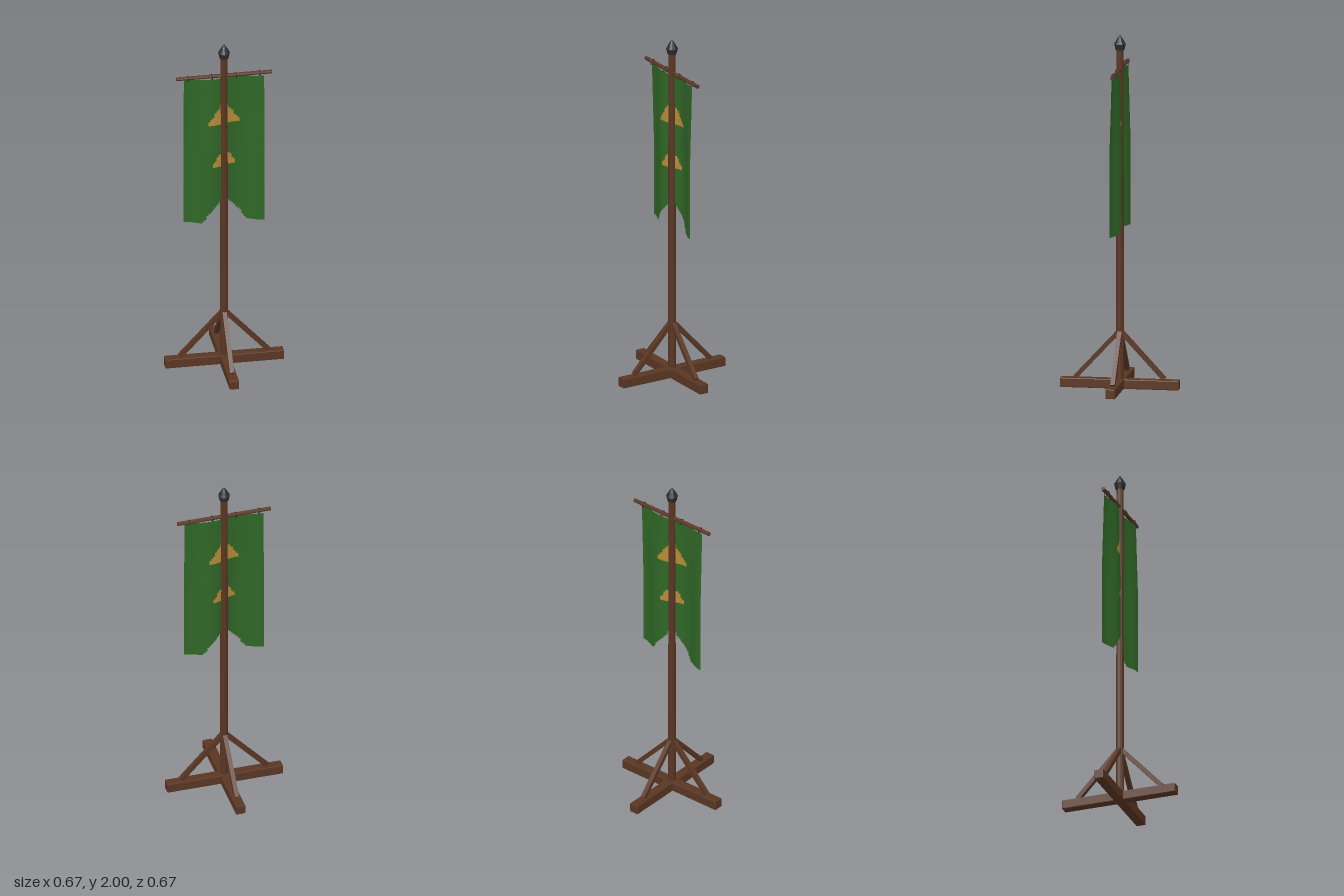
import * as THREE from 'three';
import { RoundedBoxGeometry } from 'three/addons/geometries/RoundedBoxGeometry.js';

function material(name, color, options = {}) {
  const m = new THREE.MeshStandardMaterial({ color, ...options });
  m.name = name;
  return m;
}

export function createModel() {
  const group = new THREE.Group();
  group.name = 'bannerStand';

  const wood = material('brown wood', 0x5a3623, { flatShading: true });
  const iron = material('dark iron', 0x2a2d30, { flatShading: true });
  const green = material('green cloth', 0x2f6626, { side: THREE.DoubleSide });
  const gold = material('gold emblem', 0xb68c36, { side: THREE.DoubleSide });

  function add(name, geometry, mat, x = 0, y = 0, z = 0, parent = group) {
    const mesh = new THREE.Mesh(geometry, mat);
    mesh.name = name;
    mesh.position.set(x, y, z);
    parent.add(mesh);
    return mesh;
  }

  // Crossed floor beams, one a hair lower so their tops do not coincide
  add('footBeamSide', new RoundedBoxGeometry(0.67, 0.055, 0.054, 1, 0.004), wood, 0, 0.0275, 0);
  add('footBeamFront', new RoundedBoxGeometry(0.054, 0.054, 0.67, 1, 0.004), wood, 0, 0.027, 0);

  // Four diagonal braces
  const low = new THREE.Vector2(0.25, 0.058);
  const high = new THREE.Vector2(0.012, 0.315);
  const run = high.clone().sub(low);
  for (let i = 0; i < 4; i++) {
    const arm = new THREE.Group();
    arm.name = 'brace' + (i + 1);
    arm.rotation.y = i * Math.PI / 2;
    const bar = add('braceBar', new THREE.BoxGeometry(run.length(), 0.025, 0.025), wood,
      (low.x + high.x) / 2, (low.y + high.y) / 2, 0, arm);
    bar.rotation.z = Math.atan2(run.y, run.x);
    group.add(arm);
  }

  // Upright pole and pointed finial
  add('pole', new THREE.CylinderGeometry(0.02, 0.023, 1.88, 10), wood, 0, 0.98, 0);
  const tip = [[0, 1.915], [0.025, 1.915], [0.033, 1.948], [0.017, 1.977], [0, 2]];
  add('finial', new THREE.LatheGeometry(tip.map(p => new THREE.Vector2(...p)), 12), iron);

  // Crossbar with hanging rings
  add('crossbar', new THREE.CylinderGeometry(0.011, 0.011, 0.54, 8), wood, 0, 1.804, 0)
    .rotation.z = Math.PI / 2;
  for (const x of [-0.203, -0.068, 0.068, 0.203]) {
    add('hangingRing', new THREE.TorusGeometry(0.016, 0.0022, 5, 14), iron, x, 1.801, 0)
      .rotation.y = Math.PI / 2;
  }

  // Banner: a waving grid of small cells, sorted into cloth and emblem
  const columns = 40, rows = 72, width = 0.45, height = 0.9, top = 1.788;
  const clothPoint = (i, j) => {
    const x = (i / columns - 0.5) * width;
    const drop = j / rows;
    const wave = 0.01 + 0.013 * Math.min(1, drop * 2);
    return [x, top - drop * height, -wave * Math.sin(x * Math.PI * 2 / 0.3)];
  };
  const inTriangle = (x, y, base, lipTop, half, slope, tipY) =>
    y > base && y < tipY && x < half - slope * Math.max(0, y - lipTop);
  function cellKind(i, j) {
    const x = Math.abs(((i + 0.5) / columns - 0.5) * width);
    const y = top - (j + 0.5) / rows * height;
    if (y < 1.055 - 1.28 * x) return 'cut';
    const upper = inTriangle(x, y, 1.5, 1.515, 0.09, 0.68, 1.63);
    const lower = inTriangle(x, y, 1.243, 1.258, 0.065, 0.68, 1.315);
    return upper || lower ? 'gold' : 'green';
  }
  function clothGeometry(kind) {
    const points = [], index = [];
    for (let j = 0; j <= rows; j++) {
      for (let i = 0; i <= columns; i++) points.push(...clothPoint(i, j));
    }
    for (let j = 0; j < rows; j++) {
      for (let i = 0; i < columns; i++) {
        if (cellKind(i, j) !== kind) continue;
        const a = j * (columns + 1) + i, b = a + columns + 1;
        index.push(a, b, a + 1, b, b + 1, a + 1);
      }
    }
    const g = new THREE.BufferGeometry();
    g.setAttribute('position', new THREE.Float32BufferAttribute(points, 3));
    g.setIndex(index);
    g.computeVertexNormals();
    return g;
  }
  add('bannerCloth', clothGeometry('green'), green);
  add('bannerEmblem', clothGeometry('gold'), gold);

  return group;
}
